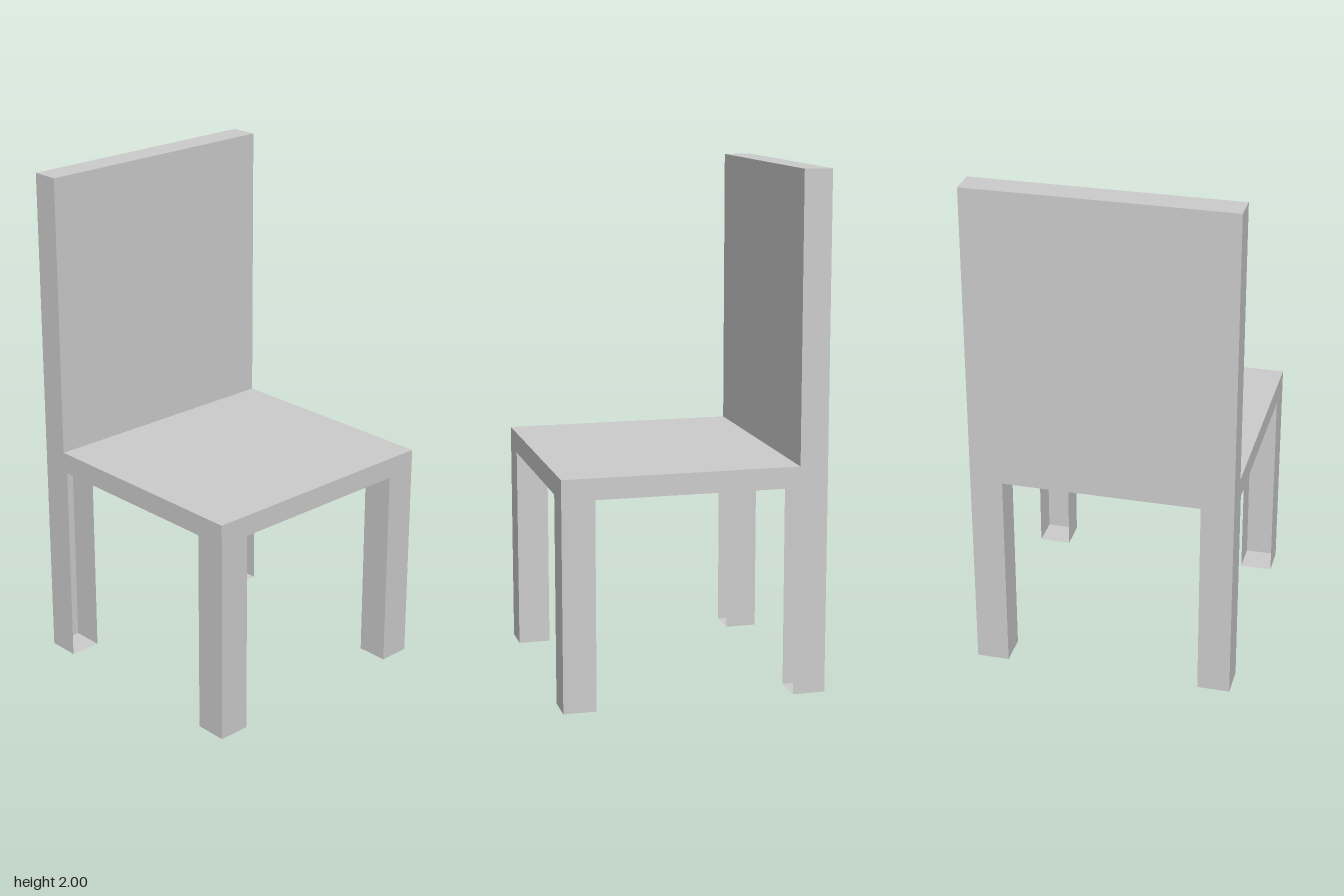
import * as THREE from 'three';

// Main dimensions: outer half width, inner leg edge, seat heights, backrest
const W = 0.512, I = 0.385, UNDER = 0.81, SEAT = 0.892, TOP = 2, BACK = -0.403;

const material = new THREE.MeshStandardMaterial({
  color: 0xcccccc, flatShading: true, side: THREE.DoubleSide,
});

// Flat outline in the XY plane
function sheet(name, points) {
  const shape = new THREE.Shape(points.map(([x, y]) => new THREE.Vector2(x, y)));
  const mesh = new THREE.Mesh(new THREE.ShapeGeometry(shape), material);
  mesh.name = name;
  return mesh;
}

const rect = (x0, y0, x1, y1) => [[x0, y0], [x1, y0], [x1, y1], [x0, y1]];

// Two legs joined by a rail, closed by the given upper outline
const arch = (upper) => [
  [-W, 0], [-I, 0], [-I, UNDER], [I, UNDER], [I, 0], [W, 0], ...upper,
];

export function createModel() {
  const chair = new THREE.Group();
  chair.name = 'chair';
  const add = (mesh, x, y, z, rx = 0, ry = 0) => {
    mesh.position.set(x, y, z);
    mesh.rotation.set(rx, ry, 0);
    chair.add(mesh);
  };
  const up = -Math.PI / 2, down = Math.PI / 2;

  // Front and back skins
  add(sheet('frontRailAndLegs', arch([[W, SEAT], [-W, SEAT]])), 0, 0, W);
  add(sheet('backSkin', arch([[W, TOP], [-W, TOP]])), 0, 0, -W, 0, Math.PI);

  // Side skins, outline drawn with +z along the outline's horizontal axis
  for (const s of [1, -1]) {
    const profile = arch([[W, SEAT], [BACK, SEAT], [BACK, TOP], [-W, TOP]])
      .map(([z, y]) => [-s * z, y]);
    add(sheet(s > 0 ? 'leftSide' : 'rightSide', profile), s * W, 0, 0, 0, s * Math.PI / 2);
  }

  // Seat top and the underside panel between the legs
  add(sheet('seatTop', rect(-W, -W, W, -BACK)), 0, SEAT, 0, up);
  add(sheet('seatUnderside', rect(-I, -W, I, W)), 0, UNDER, 0, down);

  // Backrest front and top
  add(sheet('backrestFront', rect(-W, SEAT, W, TOP)), 0, 0, BACK);
  add(sheet('backrestTop', rect(-W, -BACK, W, W)), 0, TOP, 0, up);

  // Hollow legs: inner wall and foot, open toward the other leg on the same side
  const t = (W - I) / 2, c = (W + I) / 2;
  for (const sx of [1, -1]) {
    for (const sz of [1, -1]) {
      add(sheet('legInnerWall', rect(-t, 0, t, UNDER)), sx * I, 0, sz * c, 0, -sx * Math.PI / 2);
      add(sheet('legFoot', rect(-t, -t, t, t)), sx * c, 0, sz * c, down);
    }
  }
  return chair;
}
